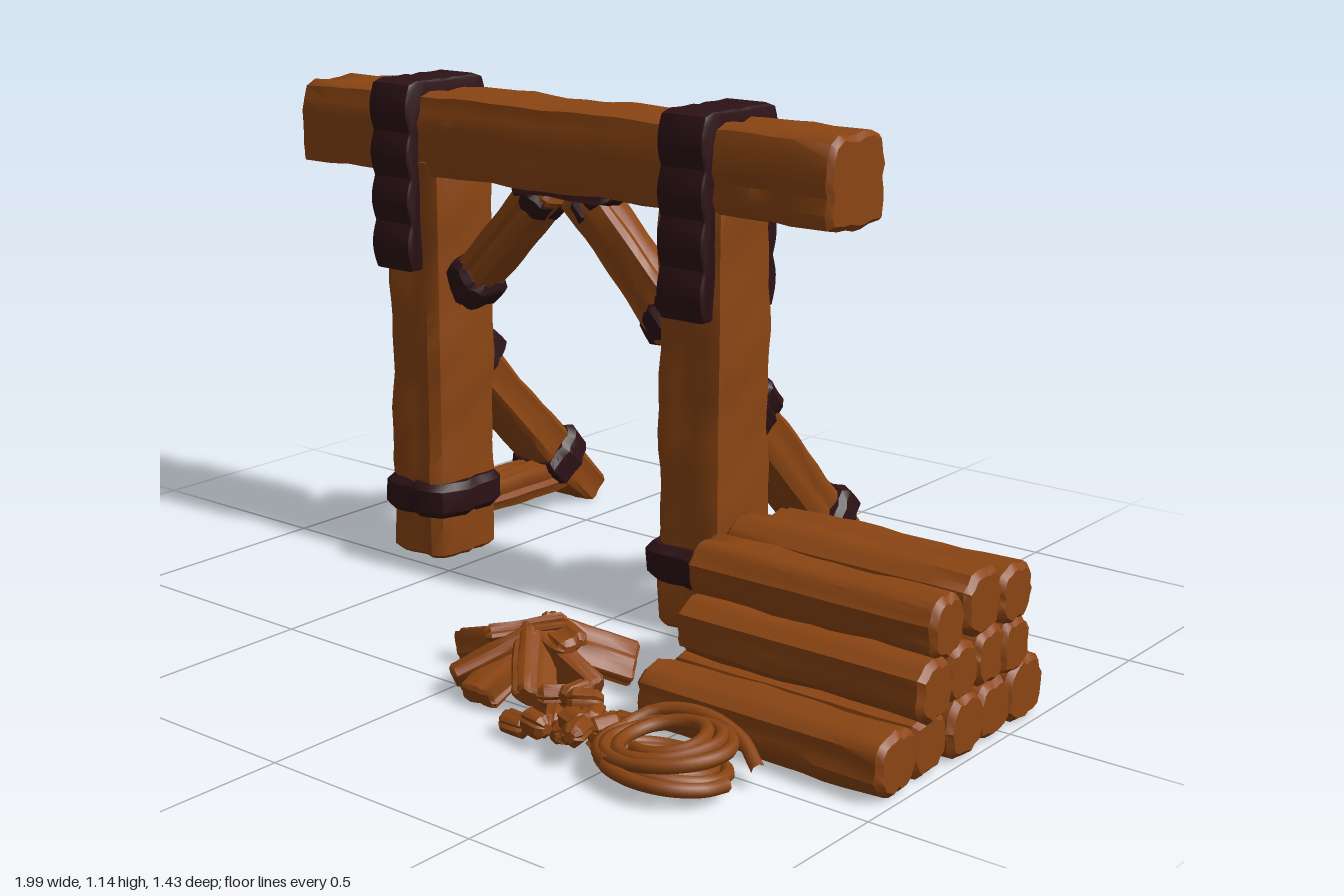
import * as THREE from 'three';
import { toCreasedNormals, mergeVertices } from 'three/addons/utils/BufferGeometryUtils.js';

const wood = new THREE.MeshStandardMaterial({ color: 0x8b4513 });
wood.name = 'brown wood';
const leather = new THREE.MeshStandardMaterial({ color: 0x2d1216 });
leather.name = 'dark binding';

const UP = new THREE.Vector3(0, 1, 0);
const V = (x, y, z) => new THREE.Vector3(x, y, z);
const FLOOR = 0.012;
let seed = 1;

// Rough-hewn bar from a to b: rounded-square section with grooves along the grain.
// w is the size across local x, d the size across local z.
function bar(group, name, material, a, b, w, d, { power = 7, rough = 0.006, bevel = 0.012, rows = 12 } = {}) {
  const dir = b.clone().sub(a);
  const len = dir.length();
  const s = (seed += 1.73);
  let geo = new THREE.CylinderGeometry(1, 1, len, 24, rows);
  const p = geo.attributes.position;
  const step = len / rows;
  for (let i = 0; i < p.count; i++) {
    let y = p.getY(i);
    const x = p.getX(i), z = p.getZ(i);
    const edge = len / 2 - Math.abs(y);
    let shrink = 0;
    if (edge < 1e-5) shrink = bevel;
    else if (edge < step * 1.01) y = Math.sign(y) * (len / 2 - Math.min(bevel, step));
    if (Math.hypot(x, z) < 0.01) continue;
    const t = Math.atan2(z, x);
    const r = (Math.abs(Math.cos(t)) ** power + Math.abs(Math.sin(t)) ** power) ** (-1 / power);
    const grain = Math.sin(7 * t + s * 3) * 0.45 + Math.sin(11 * t + s * 5 + y * 3) * 0.35;
    const lump = Math.sin(y * 17 + s * 7 + Math.cos(t) * 2) * 0.4 + Math.sin(y * 41 + s + Math.sin(t) * 3) * 0.25;
    const off = rough * (grain + lump) - shrink;
    p.setXYZ(i, Math.cos(t) * (r * w / 2 + off), y, Math.sin(t) * (r * d / 2 + off));
  }
  const q = new THREE.Quaternion().setFromUnitVectors(UP, dir.normalize());
  geo.applyMatrix4(new THREE.Matrix4().compose(a.clone().add(b).multiplyScalar(0.5), q, V(1, 1, 1)));
  // Feet are cut flat where they meet the ground
  for (let i = 0; i < p.count; i++) p.setY(i, Math.max(p.getY(i), FLOOR));
  geo.deleteAttribute('uv');
  geo.deleteAttribute('normal');
  geo = toCreasedNormals(mergeVertices(geo, 1e-5), 0.7);
  const mesh = new THREE.Mesh(geo, material);
  mesh.name = name;
  group.add(mesh);
  return mesh;
}

const BAND = { power: 4, rough: 0.009, bevel: 0.016, rows: 5 };

// Binding wrapped round a bar, centred at c along direction dir
function band(group, name, c, dir, length, w, d) {
  const h = dir.clone().normalize().multiplyScalar(length / 2);
  bar(group, name, leather, c.clone().sub(h), c.clone().add(h), w, d, BAND);
}

// Scalloped strap hung over the beam and down the front and back of the post
function strap(x) {
  const front = -0.012, back = -0.248, top = 1.142, low = 0.72, n = 28;
  const wave = t => 0.013 * Math.abs(Math.sin(t * Math.PI * 4));
  const shape = new THREE.Shape();
  shape.moveTo(-0.05, low);
  for (let i = 0; i <= n; i++) shape.lineTo(front + wave(i / n), low + (top - low) * i / n);
  for (let i = 1; i < 10; i++) shape.lineTo(front + (back - front) * i / 10, top + 0.004 + 0.3 * wave(i / 10));
  for (let i = n; i >= 0; i--) shape.lineTo(back - wave(i / n), low + (top - low) * i / n);
  shape.lineTo(-0.21, low);
  shape.lineTo(-0.21, 1.1);
  shape.lineTo(-0.05, 1.1);
  const geo = new THREE.ExtrudeGeometry(shape, {
    depth: 0.1, bevelEnabled: true, bevelThickness: 0.01, bevelSize: 0.006, bevelSegments: 2,
  });
  geo.translate(0, 0, -0.05);
  geo.rotateY(-Math.PI / 2);
  geo.translate(x, 0, 0);
  const mesh = new THREE.Mesh(toCreasedNormals(geo, 0.7), leather);
  mesh.name = 'beamStrap';
  return mesh;
}

function gate() {
  const g = new THREE.Group();
  g.name = 'gateFrame';
  bar(g, 'crossBeam', wood, V(-1, 1.03, -0.133), V(0.53, 1.03, -0.133), 0.195, 0.2, { rows: 30, rough: 0.008 });
  const frames = [{ post: -0.642, strut: -0.663, strap: -0.665 }, { post: 0.17, strut: 0.168, strap: 0.18 }];
  for (const f of frames) {
    bar(g, 'post', wood, V(f.post, 0.01, -0.13), V(f.post, 0.98, -0.13), 0.182, 0.19, { rows: 22, rough: 0.008 });
    band(g, 'postBand', V(f.post, 0.16, -0.13), UP, 0.085, 0.225, 0.235);
    g.add(strap(f.strap));
    // Sloping rear strut and ground tie
    const a = V(f.strut, 0.515, -0.19), b = V(f.strut, 0.02, -0.68);
    const dir = b.clone().sub(a);
    bar(g, 'rearStrut', wood, a, b, 0.118, 0.112);
    bar(g, 'groundTie', wood, V(f.strut, 0.1, -0.15), V(f.strut, 0.1, -0.58), 0.1, 0.085);
    band(g, 'strutTopBand', V(f.strut, 0.475, -0.25), dir, 0.1, 0.145, 0.135);
    band(g, 'strutFootBand', V(f.strut, 0.15, -0.55), dir, 0.09, 0.165, 0.15);
  }
  // Mirrored knee braces under the beam
  const mid = -0.235;
  for (const s of [-1, 1]) {
    const a = V(mid + s * 0.33, 0.655, -0.13), b = V(mid + s * 0.045, 0.94, -0.13);
    const dir = b.clone().sub(a);
    bar(g, 'kneeBrace', wood, a, b, 0.092, 0.1);
    band(g, 'braceFootBand', V(mid + s * 0.295, 0.69, -0.13), dir, 0.08, 0.12, 0.125);
    band(g, 'braceTopBand', V(mid + s * 0.085, 0.912, -0.13), dir, 0.065, 0.105, 0.12);
  }
  band(g, 'braceJointBand', V(mid + 0.02, 0.935, -0.13), V(1, 0, 0), 0.28, 0.035, 0.13);
  return g;
}

// Logs stacked in rows; each entry is [z, y, diameter]
function logPile() {
  const g = new THREE.Group();
  g.name = 'logPile';
  const logs = [
    [0.378, 0.074, 0.125], [0.262, 0.072, 0.12], [0.147, 0.076, 0.125], [0.035, 0.072, 0.12], [-0.09, 0.076, 0.135],
    [0.262, 0.183, 0.118], [0.155, 0.185, 0.115], [0.05, 0.187, 0.115], [-0.028, 0.185, 0.11],
    [0.21, 0.287, 0.12], [0.09, 0.302, 0.13], [-0.022, 0.29, 0.12],
  ];
  logs.forEach(([z, y, d], i) => {
    const shift = 0.006 * Math.sin(i * 4.1);
    bar(g, 'log', wood, V(0.416 + shift, y, z), V(0.986 + shift, y, z), d, d, { power: 2.8, rough: 0.006 });
  });
  return g;
}

// Heap of split planks fanned round a centre
function plankHeap() {
  const g = new THREE.Group();
  g.name = 'plankHeap';
  const tips = [[0.12, 0.205], [0.265, 0.25], [0.295, 0.41], [0.235, 0.53], [0.115, 0.565], [0.02, 0.535], [-0.085, 0.395], [0.02, 0.27]];
  tips.forEach(([x, z], i) => {
    const h = 0.1 + 0.02 * (i % 2);
    bar(g, 'plank', wood, V(0.12, h, 0.39), V(x, 0.035 + 0.012 * (i % 2), z), 0.09, 0.045, { rows: 6, bevel: 0.007, rough: 0.005 });
  });
  bar(g, 'topPlank', wood, V(0.05, 0.115, 0.47), V(0.16, 0.13, 0.34), 0.035, 0.07, { rows: 6 });
  bar(g, 'topPlank', wood, V(0.1, 0.13, 0.35), V(0.23, 0.12, 0.4), 0.035, 0.07, { rows: 6 });
  return g;
}

// Trail of small knobbly chips between the planks and the rope
function chips() {
  const g = new THREE.Group();
  g.name = 'woodChips';
  const spots = [[0.27, 0.62], [0.27, 0.505], [0.32, 0.5], [0.315, 0.56], [0.33, 0.63], [0.36, 0.52], [0.37, 0.585],
    [0.4, 0.54], [0.41, 0.61], [0.43, 0.5], [0.445, 0.565], [0.44, 0.64], [0.47, 0.6], [0.47, 0.52]];
  spots.forEach(([x, z], i) => {
    const t = i * 2.4, y = 0.042 + 0.018 * (i % 3);
    const h = V(Math.cos(t) * 0.035, 0, Math.sin(t) * 0.035), c = V(x, y, z);
    bar(g, 'chip', wood, c.clone().sub(h), c.clone().add(h), 0.045, 0.045, { power: 2.5, rows: 4, rough: 0.004 });
  });
  return g;
}

// Loose rope coil with a free tail
function ropeCoil() {
  const g = new THREE.Group();
  g.name = 'ropeCoil';
  const rope = (name, pts) => {
    const geo = new THREE.TubeGeometry(new THREE.CatmullRomCurve3(pts), pts.length * 3, 0.014, 7);
    const mesh = new THREE.Mesh(geo, wood);
    mesh.name = name;
    g.add(mesh);
  };
  const spiral = (r0, r1, turns, y0, y1, tilt) => Array.from({ length: turns * 14 + 1 }, (_, i) => {
    const k = i / (turns * 14), t = k * turns * Math.PI * 2 + tilt;
    const r = r0 + (r1 - r0) * k + 0.006 * Math.sin(t * 2.3);
    return V(0.61 + r * Math.cos(t), y0 + (y1 - y0) * k + 0.014 * Math.sin(t + tilt), 0.585 + r * 0.9 * Math.sin(t));
  });
  rope('lowerRope', spiral(0.14, 0.03, 4, 0.04, 0.042, 0));
  rope('upperRope', spiral(0.135, 0.075, 3, 0.075, 0.095, 2));
  rope('ropeTail', [V(0.47, 0.06, 0.56), V(0.51, 0.09, 0.49), V(0.6, 0.1, 0.465), V(0.7, 0.08, 0.475), V(0.77, 0.05, 0.515)]);
  bar(g, 'ropeKnot', wood, V(0.61, 0.015, 0.59), V(0.61, 0.07, 0.59), 0.04, 0.04, { power: 2.5, rows: 4, rough: 0.003 });
  return g;
}

export function createModel() {
  seed = 1;
  const model = new THREE.Group();
  model.name = 'timberGate';
  model.add(gate(), logPile(), plankHeap(), chips(), ropeCoil());
  return model;
}
